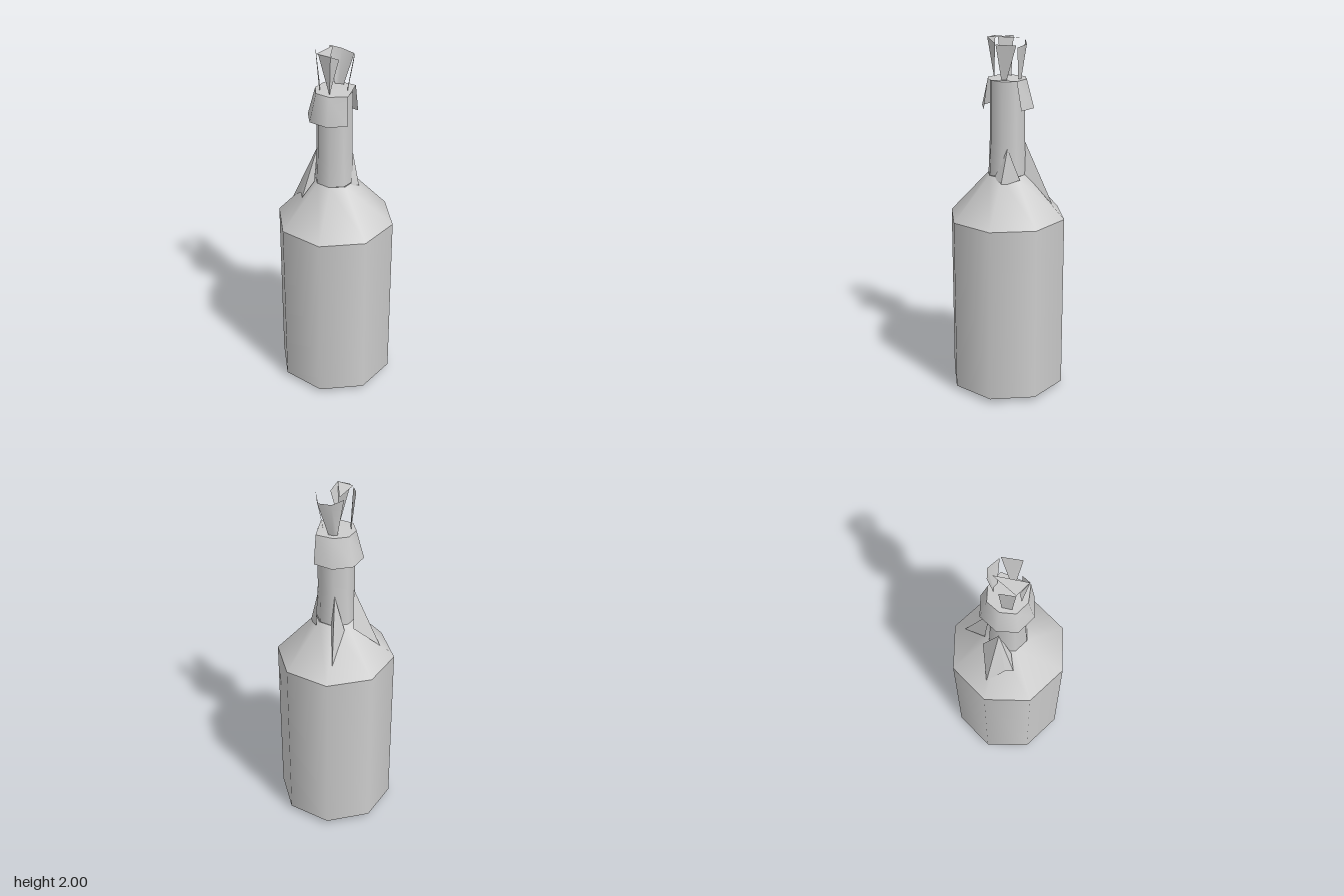
import * as THREE from 'three';

const grey = new THREE.MeshStandardMaterial({ color: 0xcccccc, side: THREE.DoubleSide });

// Eight-sided turned section with soft sides; points are [radius, height]
function turned(name, points) {
  const profile = points.map(([r, y]) => new THREE.Vector2(r, y));
  const mesh = new THREE.Mesh(new THREE.LatheGeometry(profile, 8), grey);
  mesh.name = name;
  return mesh;
}

// Thin sheet: strip of quads between two rows of equal length
function sheet(name, top, bottom) {
  const n = top.length, index = [];
  for (let i = 0; i < n - 1; i++) {
    index.push(i, n + i, i + 1, i + 1, n + i, n + i + 1);
  }
  const g = new THREE.BufferGeometry();
  g.setAttribute('position', new THREE.Float32BufferAttribute([...top, ...bottom].flat(), 3));
  g.setIndex(index);
  g.computeVertexNormals();
  const mesh = new THREE.Mesh(g, grey);
  mesh.name = name;
  return mesh;
}

// Faceted fan from one apex across a row of points
function fan(name, apex, rim) {
  const pos = [];
  for (let i = 0; i < rim.length - 1; i++) pos.push(...apex, ...rim[i], ...rim[i + 1]);
  const g = new THREE.BufferGeometry();
  g.setAttribute('position', new THREE.Float32BufferAttribute(pos, 3));
  g.computeVertexNormals();
  const mesh = new THREE.Mesh(g, grey);
  mesh.name = name;
  return mesh;
}

export function createModel() {
  const model = new THREE.Group();
  model.name = 'bottle';

  // Glass
  model.add(
    turned('base', [[0, 0.03], [0.328, 0.03]]),
    turned('body', [[0.328, 0.03], [0.328, 1.02]]),
    turned('shoulder', [[0.328, 1.02], [0.108, 1.26]]),
  );
  const neck = turned('neck', [[0.108, 1.26], [0.1, 1.44], [0.098, 1.78]]);
  const mouth = turned('mouth', [[0.098, 1.78], [0, 1.785]]);
  neck.position.x = mouth.position.x = -0.004;
  model.add(neck, mouth);

  // Cloth collar, flared at the hem and open on the left side
  const hem = [[0.097, 0.1], [-0.005, 0.143], [-0.11, 0.103], [-0.15, 0],
    [-0.11, -0.108], [-0.005, -0.15], [0.097, -0.108]];
  const lip = [[0.09, 0.08], [-0.005, 0.108], [-0.082, 0.078], [-0.108, 0],
    [-0.082, -0.078], [-0.005, -0.108], [0.09, -0.08]];
  model.add(sheet('collar',
    lip.map(([x, z]) => [x, 1.785, z]),
    hem.map(([x, z]) => [x, 1.63, z])));
  model.add(fan('collarTop', [0, 1.788, 0], [...lip, lip[0]].map(([x, z]) => [x, 1.785, z])));

  // Folds running from the neck down to the shoulder
  model.add(
    fan('rightFold', [-0.1, 1.44, -0.01],
      [[-0.11, 1.25, -0.1], [-0.25, 1.1, -0.02], [-0.18, 1.18, 0.06], [-0.16, 1.17, 0.1], [-0.1, 1.26, 0.06]]),
    fan('backFold', [-0.01, 1.44, -0.1],
      [[-0.065, 1.24, -0.11], [-0.02, 1.1, -0.252], [0.01, 1.25, -0.1]]),
    fan('leftFold', [0.09, 1.42, -0.03],
      [[0.09, 1.25, -0.1], [0.135, 1.22, -0.005], [0.1, 1.26, 0.04]]),
  );

  // Torn strips standing out of the mouth
  model.add(
    fan('frontStrip', [-0.01, 1.78, 0.075], [[-0.065, 2, 0.085], [0.005, 2, 0.108], [0.035, 1.97, 0.055]]),
    sheet('rightStrip',
      [[-0.105, 2, -0.005], [-0.08, 1.99, 0.075]],
      [[-0.08, 1.78, 0.0], [-0.07, 1.78, 0.05]]),
    sheet('leftStrip',
      [[0.083, 1.97, -0.075], [0.107, 1.975, 0.03]],
      [[0.06, 1.78, -0.015], [0.068, 1.78, 0.01]]),
    sheet('backStrip',
      [[-0.055, 1.99, -0.085], [0.005, 1.97, -0.11], [0.08, 1.96, -0.08]],
      [[-0.02, 1.78, -0.07], [0, 1.78, -0.078], [0.025, 1.78, -0.07]]),
    fan('foldedTip', [-0.03, 1.995, -0.07], [[-0.08, 1.997, 0.075], [0.005, 2, 0.108]]),
  );

  // Slanted patch under the base
  model.add(fan('basePatch', [-0.25, 0.004, 0],
    [[-0.2, 0.013, -0.1], [-0.08, 0.024, -0.13], [0, 0.029, -0.05],
      [0, 0.029, 0.05], [-0.08, 0.024, 0.13], [-0.2, 0.013, 0.1]]));

  // Rest the lowest point on the ground
  const box = new THREE.Box3().setFromObject(model);
  model.children.forEach((part) => { part.position.y -= box.min.y; });
  return model;
}
